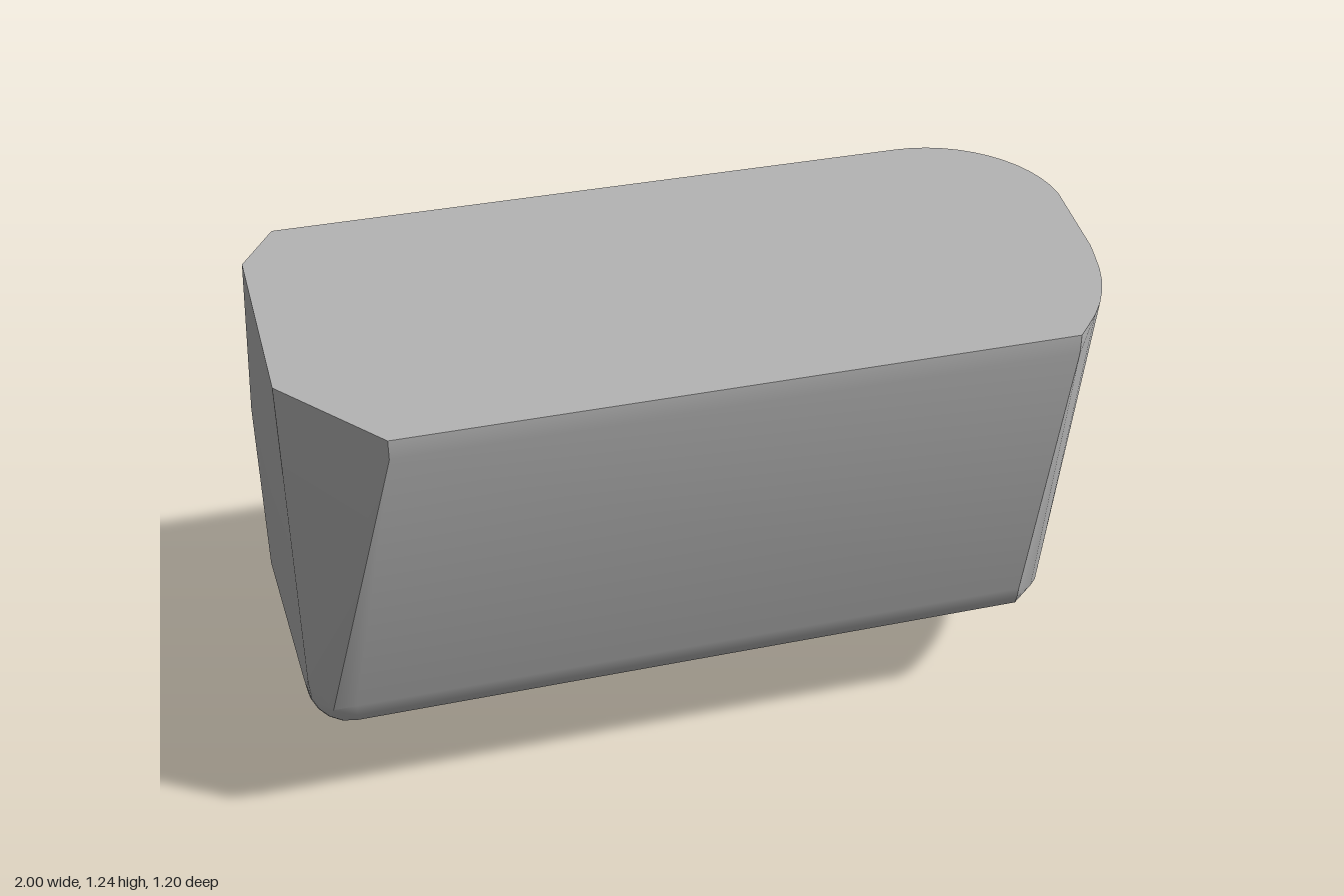
import * as THREE from 'three';
import { ConvexGeometry } from 'three/addons/geometries/ConvexGeometry.js';
import { toCreasedNormals } from 'three/addons/utils/BufferGeometryUtils.js';

const TOP = 1.247, BACK = -0.602, FRONT = 0.602;

export function createModel() {
  const grey = new THREE.MeshStandardMaterial({ color: 0xb4b4b4 });
  grey.name = 'grey';
  const points = [];
  const add = (x, y, z) => points.push(new THREE.Vector3(x, y, z));

  // flat top with a chamfered left end, and the short upright lip at the front
  add(-1, TOP, -0.2);
  add(-0.915, TOP, -0.34);
  add(-1, TOP, 0.34);
  for (const y of [TOP, 1.2]) {
    add(-0.8, y, FRONT);
    add(0.72, y, FRONT);
  }

  // rounded back corner, tapering from the top to the upright back face
  const steps = 12;
  for (let i = 0; i <= steps; i++) {
    const a = (i / steps) * Math.PI / 2;
    add(0.63 + 0.3 * Math.sin(a), TOP, -0.02 - 0.32 * Math.cos(a));
    add(0.7 + 0.298 * Math.sin(a), 0.37 + 0.23 * Math.cos(a), BACK);
  }
  add(-1, 0.6, BACK);

  // rounded front corner, swept down along the sloping front
  const topCurve = new THREE.SplineCurve([[0.9, 0.24], [0.865, 0.38], [0.805, 0.5], [0.72, FRONT]]
    .map(p => new THREE.Vector2(...p)));
  const lowY = [0.243, 0.28, 0.318, 0.37];
  const lowCurve = new THREE.CatmullRomCurve3([[0.924, 0.02], [0.888, 0.16], [0.825, 0.285], [0.735, 0.385]]
    .map(([x, z], i) => new THREE.Vector3(x, lowY[i], z)));
  for (let i = 0; i <= 8; i++) {
    const p = topCurve.getPoint(i / 8), q = lowCurve.getPoint(i / 8);
    add(p.x, TOP, p.y);
    add(q.x, q.y, q.z);
  }

  // right-hand edge of the sloping underside
  for (const [x, y] of [[0.8, 0.003], [0.87, 0.014], [0.94, 0.04], [0.998, 0.08]]) add(x, y, BACK);

  // front toe and underside: rows [z, y, right end x], rounded at the left
  const rows = [[0.4, 0.4, 0.73], [0.385, 0.36, 0.735], [0.355, 0.32, 0.745], [0.315, 0.287, 0.755],
    [0.26, 0.259, 0.765], [0.2, 0.238, 0.77], [BACK, 0.003, 0.8]];
  rows.forEach(([z, y, right], i) => {
    add(right, y, z);
    const before = rows[Math.max(i - 1, 0)], after = rows[Math.min(i + 1, rows.length - 1)];
    const inward = new THREE.Vector2(after[1] - before[1], before[0] - after[0]).normalize();
    if (z === BACK) inward.set(0, 1);
    for (let j = 0; j <= 5; j++) {
      const a = (j / 5) * Math.PI / 2, d = 0.1 * (1 - Math.cos(a));
      const pz = z + inward.x * d, py = y + inward.y * d;
      const chamfer = -1 + Math.max(0, pz - 0.34) * 0.763;
      add(Math.max(-0.9 - 0.1 * Math.sin(a), chamfer), py, pz);
    }
  });
  add(-0.954, 0.4, 0.4);
  add(-1, 0.45, 0.34);

  const body = new THREE.Mesh(toCreasedNormals(new ConvexGeometry(points), 0.45), grey);
  body.name = 'body';
  const group = new THREE.Group();
  group.name = 'slantedBlock';
  group.add(body);
  return group;
}
